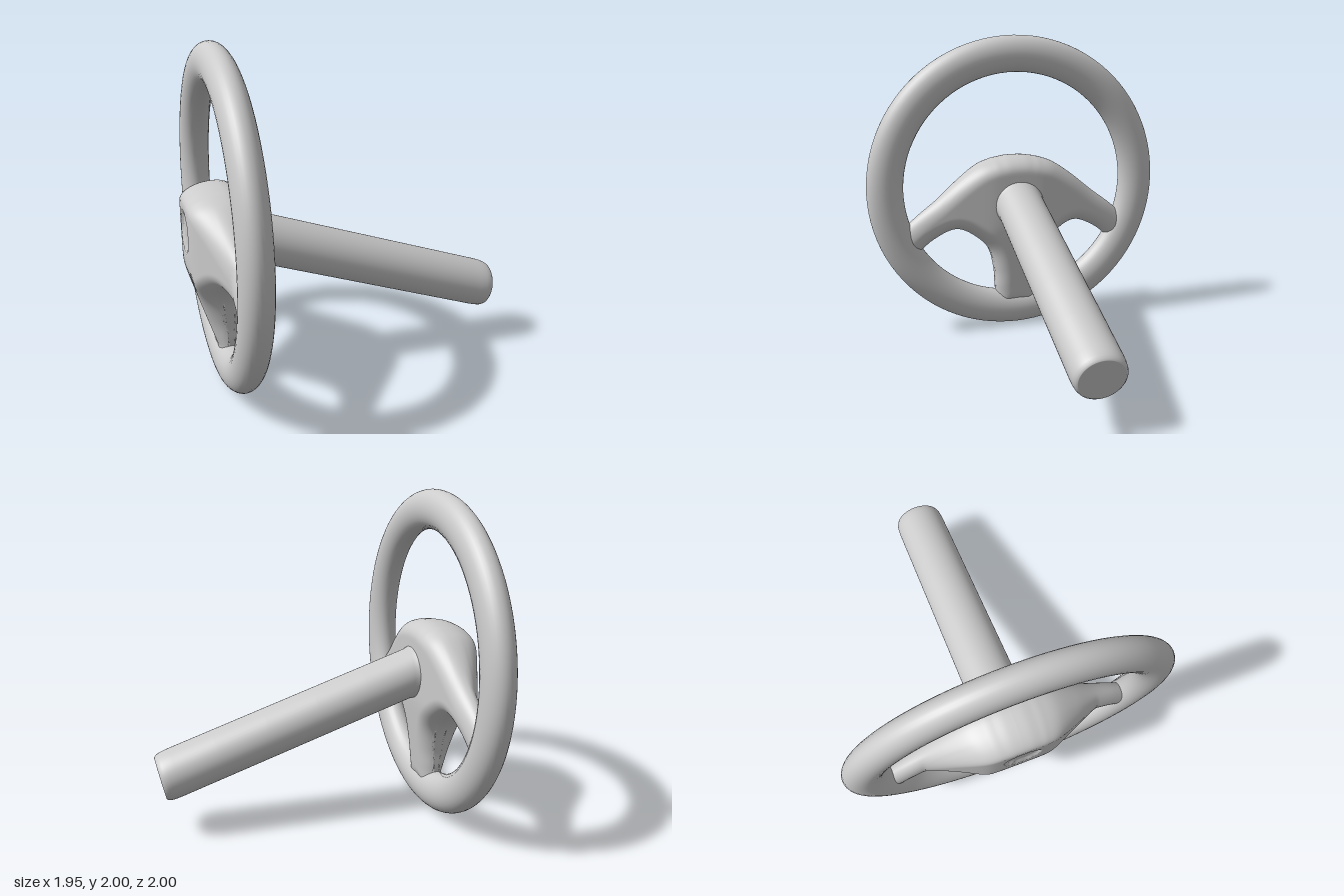
import * as THREE from 'three';

const material = new THREE.MeshStandardMaterial({ color: 0xcccccc });
const RIM_X = -0.765;

// Smooth skin over closed rings of [x, y, z] points
function loft(rings) {
  const n = rings[0].length;
  const index = [];
  for (let i = 0; i < rings.length - 1; i++) {
    for (let j = 0; j < n; j++) {
      const a = i * n + j, b = i * n + (j + 1) % n;
      index.push(a, b, a + n, b, b + n, a + n);
    }
  }
  const geometry = new THREE.BufferGeometry();
  geometry.setAttribute('position', new THREE.Float32BufferAttribute(rings.flat(2), 3));
  geometry.setIndex(index);
  geometry.computeVertexNormals();
  return geometry;
}

function addPart(group, name, geometry) {
  const mesh = new THREE.Mesh(geometry, material);
  mesh.name = name;
  group.add(mesh);
  return mesh;
}

// Round the corner of max(0, x)
const soft = (x) => (x + Math.sqrt(x * x + 0.003)) / 2;

// Hub with three spokes: columns between a lower and an upper outline, in (z, y)
function hubGeometry() {
  const curve = (pts) => new THREE.SplineCurve(pts.map(([z, y]) => new THREE.Vector2(z, y)));
  const lower = curve([[0, 0.14], [0.13, 0.14], [0.15, 0.27], [0.155, 0.4], [0.19, 0.55],
    [0.29, 0.66], [0.42, 0.72], [0.57, 0.66], [0.68, 0.57]]);
  const upper = curve([[0, 1.2], [0.06, 1.198], [0.11, 1.19], [0.17, 1.178], [0.27, 1.14],
    [0.4, 1.05], [0.55, 0.925], [0.68, 0.825], [0.79, 0.73]]);
  const outline = [...lower.getPoints(160), ...upper.getPoints(160)];

  // Rounded edge: 0 on the outline, 1 further in
  const edge = (z, y) => {
    let d = Infinity;
    for (const p of outline) d = Math.min(d, Math.hypot(p.x - z, p.y - y));
    const t = 1 - Math.min(d / 0.1, 1);
    return Math.sqrt(1 - t * t);
  };
  // Domed face with a shallow round recess in the middle
  const frontDepth = (z, y) => {
    const t = Math.hypot(soft(z - 0.2) / 0.27, soft(0.7 - y) / 0.37);
    const recess = 0.014 * (1 - THREE.MathUtils.smoothstep(Math.hypot(z, y - 0.94), 0.1, 0.118));
    return Math.max(0.06, 0.214 - 0.12 * t) - recess;
  };
  const backDepth = (z, y) => {
    const t = Math.hypot(soft(z - 0.17) / 0.33, soft(0.72 - y) / 0.37);
    return Math.max(0.06, 0.137 - 0.042 * t);
  };

  const half = 80, steps = 56, rings = [];
  for (let i = -half; i <= half; i++) {
    const u = Math.abs(i) / half, side = Math.sign(i);
    const lo = lower.getPoint(u), hi = upper.getPoint(u);
    const front = [], back = [];
    for (let k = 0; k <= steps; k++) {
      const p = hi.clone().lerp(lo, (1 - Math.cos(Math.PI * k / steps)) / 2);
      const e = k === 0 || k === steps ? 0 : edge(p.x, p.y);
      front.push([RIM_X - frontDepth(p.x, p.y) * e, p.y, side * p.x]);
      if (k > 0 && k < steps) back.unshift([RIM_X + backDepth(p.x, p.y) * e, p.y, side * p.x]);
    }
    rings.push([...front, ...back]);
  }
  // Close the spoke tips
  const tip = lower.getPoint(1).lerp(upper.getPoint(1), 0.5);
  const cap = (side) => rings[0].map(() => [RIM_X, tip.y, side * tip.x]);
  return loft([cap(-1), ...rings, cap(1)]);
}

// Sloping column: rings of [x, radius scale], leaning more towards the far end
function columnGeometry() {
  const sections = [[-0.75, 1.12], [-0.66, 1.1], [-0.635, 1.04], [-0.6, 1], [-0.3, 1], [0, 1], [0.3, 1],
    [0.6, 1], [0.85, 1], [0.89, 0.99], [0.915, 0.965], [0.932, 0.92], [0.94, 0.86], [0.941, 0.84], [0.941, 0]];
  const sides = 48;
  return loft(sections.map(([x, s]) => {
    const lean = 0.22 * THREE.MathUtils.smoothstep(x, -0.6, 0.9);
    return Array.from({ length: sides }, (_, j) => {
      const a = 2 * Math.PI * j / sides;
      const h = 0.155 * s * Math.cos(a);
      const px = x + lean * h;
      return [px, 0.668 - 0.34 * px + h, 0.16 * s * Math.sin(a)];
    });
  }));
}

export function createModel() {
  const group = new THREE.Group();
  group.name = 'steeringWheel';

  // Rim, slightly flattened along the wheel axis
  const rim = new THREE.TorusGeometry(0.88, 0.12, 32, 96);
  rim.rotateY(Math.PI / 2);
  rim.scale(0.0925 / 0.12, 1, 1);
  addPart(group, 'rim', rim).position.set(RIM_X, 1, 0);

  addPart(group, 'hubAndSpokes', hubGeometry());
  addPart(group, 'steeringColumn', columnGeometry());
  return group;
}
